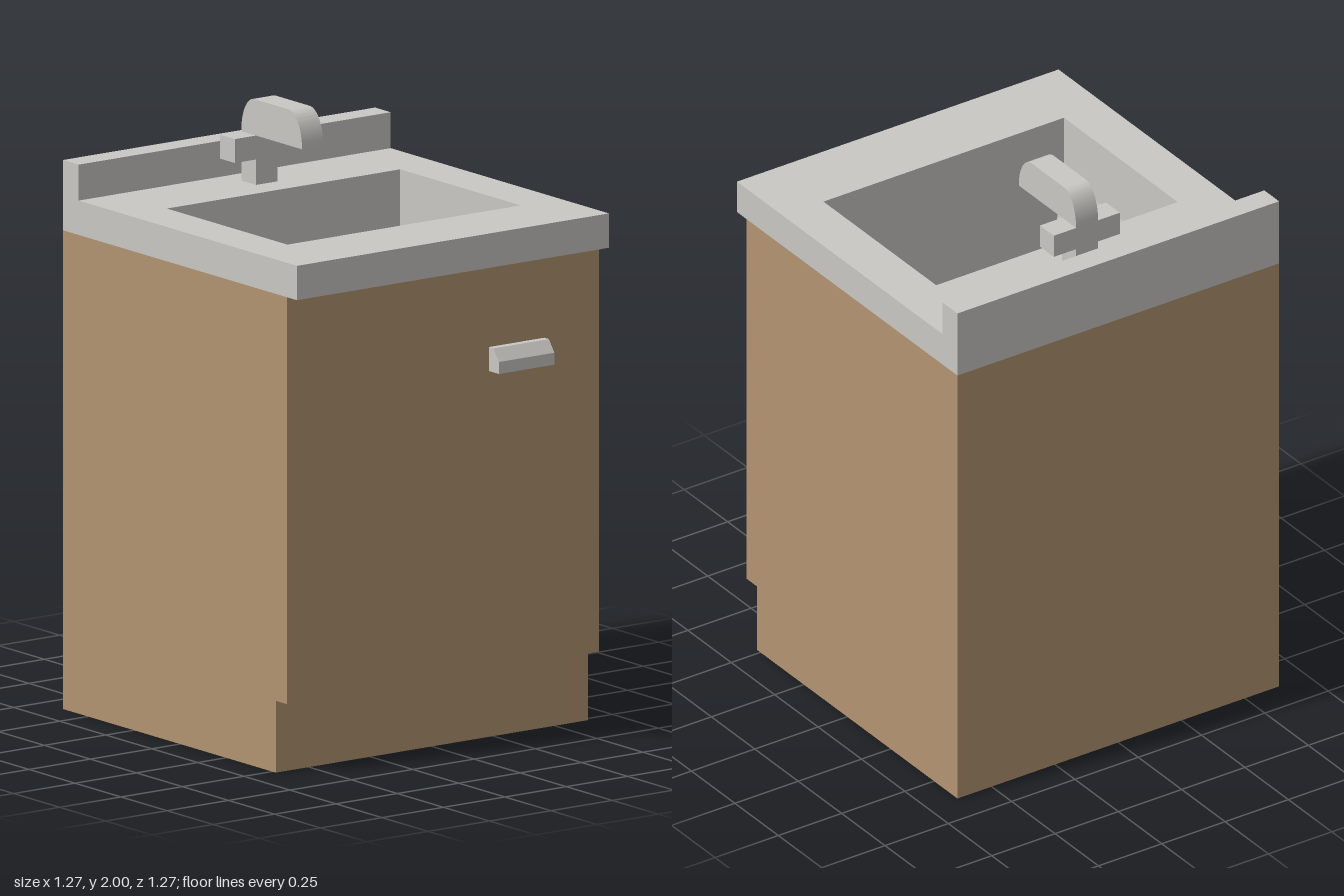
import * as THREE from 'three';
import { toCreasedNormals } from 'three/addons/utils/BufferGeometryUtils.js';

const wood = new THREE.MeshStandardMaterial({ color: 0xb39472 });
wood.name = 'wood';
const steel = new THREE.MeshStandardMaterial({ color: 0xc9c8c4 });
steel.name = 'steel';

function add(parent, name, geometry, material) {
  const mesh = new THREE.Mesh(geometry, material);
  mesh.name = name;
  parent.add(mesh);
  return mesh;
}

// Box given by its limits on each axis
function box(x0, x1, y0, y1, z0, z1) {
  return new THREE.BoxGeometry(x1 - x0, y1 - y0, z1 - z0)
    .translate((x0 + x1) / 2, (y0 + y1) / 2, (z0 + z1) / 2);
}

// Horizontal rectangle facing up or down
function sheet(y, x0, x1, z0, z1, up) {
  return new THREE.PlaneGeometry(x1 - x0, z1 - z0)
    .rotateX(up ? -Math.PI / 2 : Math.PI / 2)
    .translate((x0 + x1) / 2, y, (z0 + z1) / 2);
}

// Walls joining rectangles [y, x0, x1, z0, z1]: rising rings face outward, falling rings inward
function walls(rings) {
  const corners = rings.map(([y, x0, x1, z0, z1]) =>
    [[x0, y, z0], [x0, y, z1], [x1, y, z1], [x1, y, z0]]);
  const points = [];
  for (let r = 0; r + 1 < corners.length; r++) {
    for (let i = 0; i < 4; i++) {
      const j = (i + 1) % 4;
      const [a, b, c, d] = [corners[r][i], corners[r][j], corners[r + 1][j], corners[r + 1][i]];
      points.push(...a, ...b, ...c, ...a, ...c, ...d);
    }
  }
  const geometry = new THREE.BufferGeometry();
  geometry.setAttribute('position', new THREE.Float32BufferAttribute(points, 3));
  geometry.computeVertexNormals();
  return geometry;
}

// Side profile drawn in (z, y) and extruded from x0 to x1
function sideExtrude(shape, x0, x1) {
  const geometry = new THREE.ExtrudeGeometry(shape, { depth: x1 - x0, bevelEnabled: false, curveSegments: 10 });
  geometry.rotateY(-Math.PI / 2).translate(x1, 0, 0);
  return toCreasedNormals(geometry, 0.5);
}

export function createModel() {
  const model = new THREE.Group();
  model.name = 'sinkCabinet';
  const W = 0.635;

  // Hollow cabinet with a recessed toe kick
  const cabinet = new THREE.Group();
  cabinet.name = 'cabinet';
  model.add(cabinet);
  add(cabinet, 'toeKick', walls([[0, -W, W, -W, 0.52], [0.24, -W, W, -W, 0.52]]), wood);
  add(cabinet, 'cabinetBody', walls([[0.24, -W, W, -W, 0.58], [1.6, -W, W, -W, 0.58]]), wood);
  add(cabinet, 'cabinetLip', sheet(0.24, -W, W, 0.52, 0.58, false), wood);
  add(cabinet, 'cabinetBase', sheet(0, -W, W, -W, 0.52, false), wood);

  // Countertop with the basin opening
  const [hx, back, front] = [0.475, -0.285, 0.37];
  const top = new THREE.Shape([[-W, -W], [W, -W], [W, W], [-W, W]].map(p => new THREE.Vector2(...p)));
  top.holes.push(new THREE.Path(
    [[-hx, -front], [-hx, -back], [hx, -back], [hx, -front]].map(p => new THREE.Vector2(...p))));
  add(model, 'countertop', new THREE.ExtrudeGeometry(top, { depth: 0.115, bevelEnabled: false })
    .rotateX(-Math.PI / 2).translate(0, 1.6, 0), steel);
  add(model, 'backsplash', box(-W, W, 1.715, 1.835, -W, -0.55), steel);

  // Basin with side walls that draw in towards the floor
  add(model, 'basinWalls', walls([
    [1.6, -hx, hx, back, front],
    [1.49, -hx, hx, back, front],
    [1.25, -0.43, 0.43, back, front],
  ]), steel);
  add(model, 'basinFloor', sheet(1.25, -0.43, 0.43, back, front, true), steel);

  // Tap: stem, cross handle and rounded spout
  const tap = new THREE.Group();
  tap.name = 'tap';
  model.add(tap);
  add(tap, 'tapStem', box(-0.037, 0.05, 1.715, 1.8, -0.465, -0.385), steel);
  add(tap, 'tapCrossHandle', box(-0.123, 0.138, 1.8, 1.88, -0.465, -0.385), steel);
  const spout = new THREE.Shape();
  spout.moveTo(-0.465, 1.88);
  spout.lineTo(-0.135, 1.88);
  spout.absellipse(-0.21, 1.88, 0.075, 0.12, 0, Math.PI / 2, false);
  spout.lineTo(-0.395, 2);
  spout.absellipse(-0.395, 1.88, 0.07, 0.12, Math.PI / 2, Math.PI, false);
  add(tap, 'tapSpout', sideExtrude(spout, -0.037, 0.05), steel);

  // Door pull with a chamfered upper edge
  const pull = new THREE.Shape([[0.58, 1.24], [0.635, 1.24], [0.635, 1.28], [0.605, 1.32], [0.58, 1.32]]
    .map(p => new THREE.Vector2(...p)));
  add(model, 'doorPull', sideExtrude(pull, 0.187, 0.413), steel);

  return model;
}
